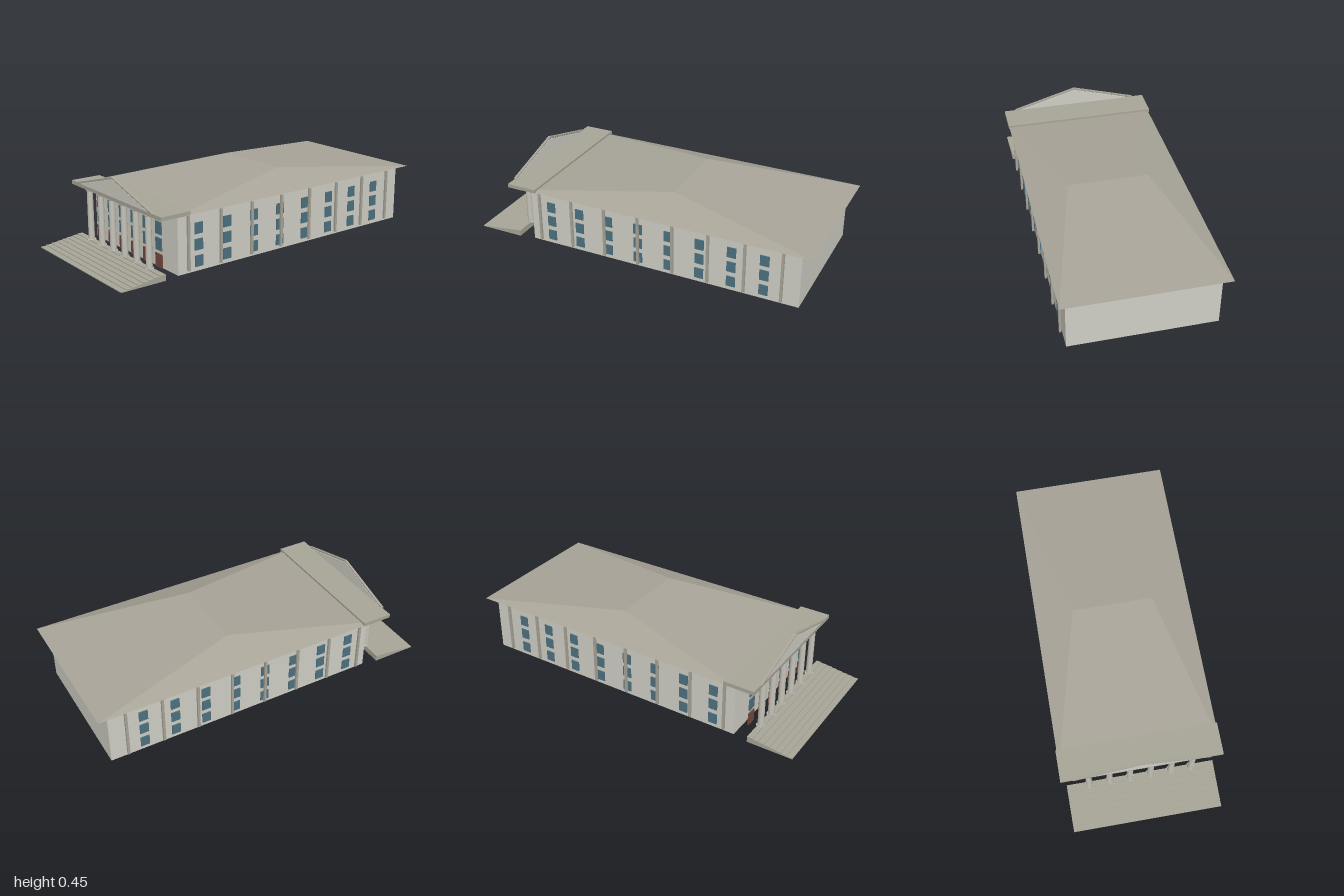
import * as THREE from 'three';
import { ConvexGeometry } from 'three/addons/geometries/ConvexGeometry.js';

const material = (name, color) => {
  const m = new THREE.MeshStandardMaterial({ color });
  m.name = name;
  return m;
};

export function createModel() {
  const wall = material('pale wall', 0xd0cfc5);
  const stone = material('column stone', 0xc4c2b7);
  const trim = material('warm grey trim', 0xa8a498);
  const glass = material('blue glass', 0x4d7180);
  const wood = material('red brown door', 0x75483f);

  const model = new THREE.Group();
  model.name = 'columnedHall';

  const add = (name, geometry, mat, parent = model) => {
    const mesh = new THREE.Mesh(geometry, mat);
    mesh.name = name;
    parent.add(mesh);
    return mesh;
  };
  // Box given by its limits on each axis
  const box = (name, mat, [x0, x1], [y0, y1], [z0, z1], parent) => {
    const mesh = add(name, new THREE.BoxGeometry(x1 - x0, y1 - y0, z1 - z0), mat, parent);
    mesh.position.set((x0 + x1) / 2, (y0 + y1) / 2, (z0 + z1) / 2);
    return mesh;
  };
  const group = (name) => {
    const g = new THREE.Group();
    g.name = name;
    model.add(g);
    return g;
  };

  // Main building
  box('mainBlock', wall, [-0.401, 0.401], [0, 0.321], [-0.94, 0.653]);

  // Hipped roof with its ridge running across the building
  const eave = 0.438, eaveY = 0.321;
  const roofPoints = [];
  for (const s of [-1, 1]) {
    for (const z of [-1, 0.694]) roofPoints.push(new THREE.Vector3(s * eave, eaveY, z));
    roofPoints.push(new THREE.Vector3(s * 0.226, 0.403, -0.153));
  }
  add('hippedRoof', new ConvexGeometry(roofPoints), trim);

  // Side windows and pilasters
  for (const s of [-1, 1]) {
    const side = group(s > 0 ? 'leftSide' : 'rightSide');
    const span = (a, b) => (s > 0 ? [a, b] : [-b, -a]);
    for (let i = 0; i < 8; i++) {
      const wz = 0.525 - i * 0.1815;
      for (const y of [0.054, 0.143, 0.23]) {
        box('sideWindow', glass, span(0.4, 0.407), [y - 0.03, y + 0.03], [wz - 0.025, wz + 0.025], side);
      }
      const pz = 0.595 - i * 0.2057;
      box('pilaster', trim, span(0.407, 0.419), [0.016, 0.309], [pz - 0.007, pz + 0.007], side);
    }
  }

  // Entrance stairs: a stepped profile extruded across the front
  const steps = 8, backZ = 0.74, stairH = 0.034, depth = (1 - backZ) / steps;
  const profile = new THREE.Shape();
  profile.moveTo(backZ, 0);
  profile.lineTo(backZ, stairH);
  for (let i = steps; i > 0; i--) {
    const z = 1 - (i - 1) * depth;
    profile.lineTo(z, (stairH * i) / steps);
    profile.lineTo(z, (stairH * (i - 1)) / steps);
  }
  const stairGeo = new THREE.ExtrudeGeometry(profile, { depth: 0.838, bevelEnabled: false });
  stairGeo.rotateY(-Math.PI / 2); // profile x becomes z
  const stairs = add('frontStairs', stairGeo, trim);
  stairs.position.x = 0.419;

  // Colonnade with the doors and windows behind it
  const columns = group('colonnade');
  const frontage = group('frontDoorsAndWindows');
  const drum = (name, r0, r1, y0, y1, x) => {
    const mesh = add(name, new THREE.CylinderGeometry(r1, r0, y1 - y0, 24), stone, columns);
    mesh.position.set(x, (y0 + y1) / 2, 0.752);
  };
  for (let i = 0; i < 6; i++) {
    const x = -0.2915 + i * 0.116;
    drum('columnBase', 0.024, 0.024, 0.029, 0.034, x);
    drum('columnShaft', 0.0175, 0.0165, 0.034, 0.309, x);
    drum('columnNeck', 0.018, 0.021, 0.309, 0.315, x);
    drum('columnCapital', 0.024, 0.024, 0.315, 0.322, x);
    box('frontDoor', wood, [x - 0.029, x + 0.029], [0.024, 0.096], [0.689, 0.696], frontage);
    for (const y of [0.148, 0.234]) {
      box('frontWindow', glass, [x - 0.026, x + 0.026], [y - 0.033, y + 0.033], [0.689, 0.696], frontage);
    }
  }

  // Entablature slab over the columns
  box('entablature', trim, [-0.443, 0.443], [0.321, 0.342], [0.602, 0.778]);

  // Pediment: flat panel with two raking mouldings around it
  const flat = (name, points, mat, thick, z) => {
    const shape = new THREE.Shape(points.map(([x, y]) => new THREE.Vector2(x, y)));
    const mesh = add(name, new THREE.ExtrudeGeometry(shape, { depth: thick, bevelEnabled: false }), mat);
    mesh.position.z = z;
  };
  flat('pedimentPanel', [[-0.336, 0.342], [0.336, 0.342], [0, 0.437]], wall, 0.006, 0.774);
  for (const s of [-1, 1]) {
    flat('rakingMoulding', [[s * 0.35, 0.342], [s * 0.372, 0.342], [0, 0.447], [0, 0.441]], trim, 0.01, 0.773);
    flat('rakingCap', [[s * 0.362, 0.345], [s * 0.375, 0.345], [0, 0.452], [0, 0.447]], trim, 0.014, 0.771);
  }

  return model;
}
